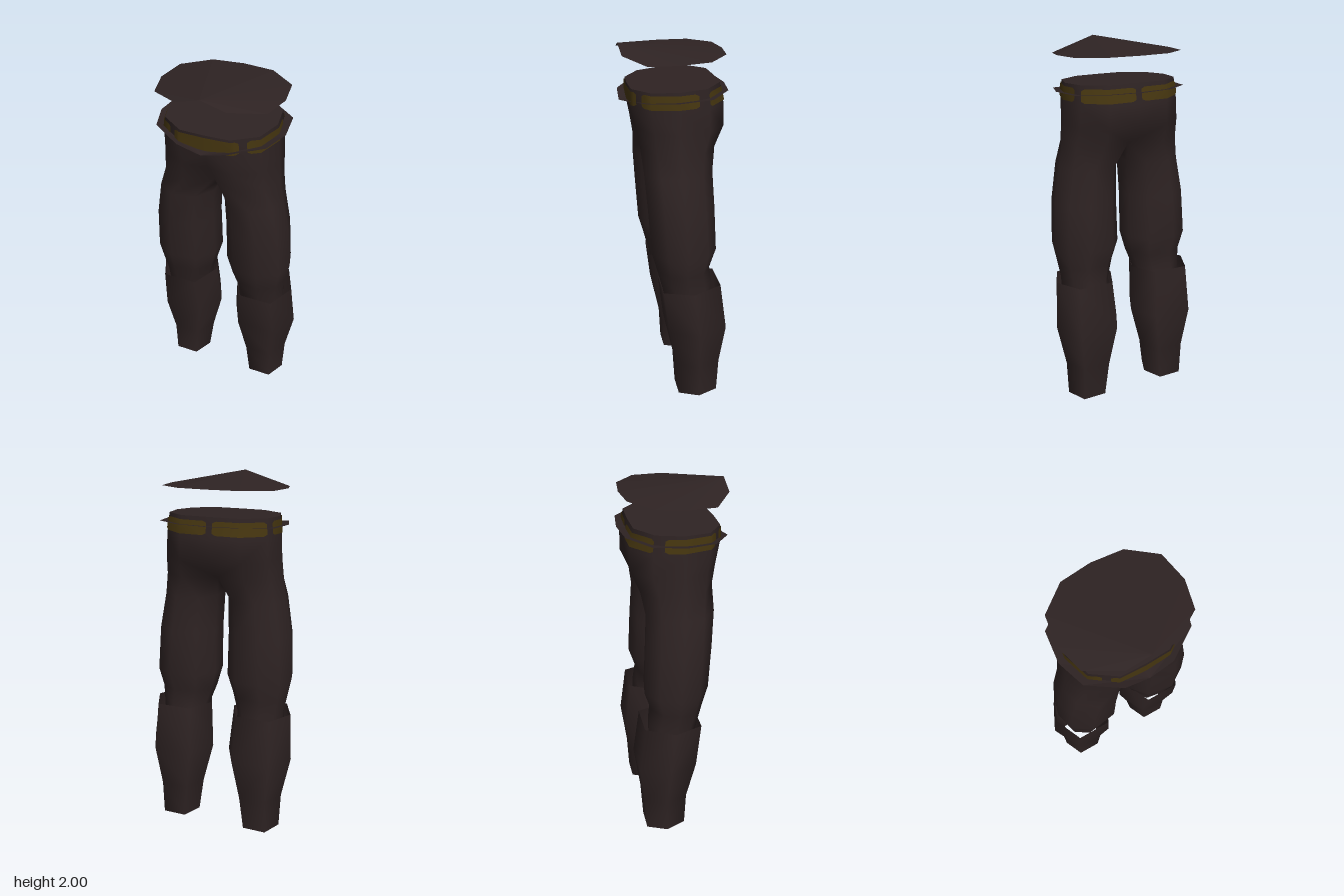
import * as THREE from 'three';
import { mergeGeometries, mergeVertices } from 'three/addons/utils/BufferGeometryUtils.js';

const leather = new THREE.MeshStandardMaterial({ color: 0x2e2323, side: THREE.DoubleSide });
leather.name = 'darkLeather';
const gold = new THREE.MeshStandardMaterial({ color: 0x45350f, side: THREE.DoubleSide });
gold.name = 'darkGold';

// Skins a list of equal-length rows running from top to bottom; side -1 mirrors in x
function loft(rows, closed, side = 1) {
  const n = rows[0].length, pos = [], idx = [];
  rows.forEach(r => r.forEach(p => pos.push(p[0] * side, p[1], p[2])));
  for (let i = 0; i < rows.length - 1; i++) {
    for (let j = 0; j < (closed ? n : n - 1); j++) {
      const k = (j + 1) % n;
      const a = i * n + j, b = i * n + k, c = b + n, d = a + n;
      if (side > 0) idx.push(a, d, c, a, c, b);
      else idx.push(a, c, d, a, b, c);
    }
  }
  const g = new THREE.BufferGeometry();
  g.setAttribute('position', new THREE.Float32BufferAttribute(pos, 3));
  g.setIndex(idx);
  return g;
}

// Joins pieces and shades them smoothly across the seams
function smooth(list) {
  const g = mergeVertices(mergeGeometries(list), 1e-4);
  g.computeVertexNormals();
  return g;
}

// Flat-shaded fan from the front point of a half outline, mirrored to both sides
function fan(half) {
  const ring = [...half, ...half.slice(1, -1).reverse().map(p => [-p[0], p[1], p[2]])];
  const pos = [];
  for (let i = 1; i < ring.length - 1; i++) pos.push(...ring[0], ...ring[i], ...ring[i + 1]);
  const g = new THREE.BufferGeometry();
  g.setAttribute('position', new THREE.Float32BufferAttribute(pos, 3));
  g.computeVertexNormals();
  return g;
}

// Half hip section from front centre, round the side, to back centre
function hipRow([y, w, f, b, fc, bc, tilt = 0]) {
  return [[0, fc], [0.45 * w, f], [0.86 * w, 0.64 * f], [w, 0.01], [0.92 * w, 0.6 * b], [0.54 * w, b], [0, bc]]
    .map(([x, z]) => [x, y - tilt * z, z]);
}

// Leg section, point for point below the hip half and the crotch
const legAngles = [-32, 14, 55, 90, 128, 166, 212, 252, 288];
function legRow([y, inner, outer, f, b]) {
  const cx = (inner + outer) / 2, cz = (f + b) / 2;
  return legAngles.map(d => {
    const t = THREE.MathUtils.degToRad(d);
    const e = d === 90 ? 1 : 1.04;
    return [cx + Math.sin(t) * e * (outer - inner) / 2, y, cz + Math.cos(t) * e * (f - b) / 2];
  });
}

// Six-sided boot section
function bootRow([y, inner, outer, f, b, tilt = 0]) {
  const c = (inner + outer) / 2, h = 0.58 * (outer - inner) / 2, m = (f + b) / 2;
  return [[c - h, f], [c + h, f], [outer, m], [c + h, b], [c - h, b], [inner, m]]
    .map(([x, z]) => [x, y - tilt * (z - m), z]);
}

const hips = [
  [1.80, 0.30, 0.235, -0.225, 0.24, -0.23, 0.05],
  [1.70, 0.31, 0.235, -0.247, 0.24, -0.25],
  [1.58, 0.318, 0.212, -0.248, 0.20, -0.235],
  [1.47, 0.33, 0.195, -0.20, 0.12, -0.13]
].map(hipRow);

const legs = [
  [1.35, 0.03, 0.348, 0.186, -0.178],
  [1.15, 0.038, 0.385, 0.172, -0.188],
  [0.90, 0.036, 0.40, 0.155, -0.20],
  [0.79, 0.066, 0.377, 0.125, -0.165],
  [0.69, 0.10, 0.36, 0.10, -0.18],
  [0.60, 0.10, 0.36, 0.08, -0.18]
].map(legRow);

const boots = [
  [0.70, 0.07, 0.41, 0.105, -0.215, 0.06],
  [0.44, 0.05, 0.43, 0.075, -0.25],
  [0.20, 0.11, 0.38, 0.025, -0.22],
  [0.00, 0.14, 0.37, 0.015, -0.21]
].map(bootRow);

// Point on the waist at s steps round the half section, lifted just clear of the cloth
function waistPoint(s, y) {
  const j = Math.min(Math.floor(s), 5), u = s - j, v = (1.80 - y) / 0.1;
  const at = k => [0, 2].map(c => THREE.MathUtils.lerp(hips[0][k][c], hips[1][k][c], v));
  const a = at(j), b = at(j + 1);
  const x = THREE.MathUtils.lerp(a[0], b[0], u), z = THREE.MathUtils.lerp(a[1], b[1], u);
  return [x * 1.018, y - 0.03 * z, z * 1.018];
}

// Thin belt plate with clipped corners between two stations
function plate(from, to, side) {
  const stops = [[from, from > 0 ? 0.026 : 0.036]];
  if (from > 0) stops.push([from + 0.12, 0.036]);
  for (let s = Math.floor(from) + 1; s < to - 0.12; s++) if (s > from + 0.12) stops.push([s, 0.036]);
  stops.push([to - 0.12, 0.036], [to, 0.026]);
  const g = loft([1, -1].map(k => stops.map(([s, h]) => waistPoint(s, 1.748 + k * h))), false, side);
  g.computeVertexNormals();
  return g;
}

export function createModel() {
  const model = new THREE.Group();
  const add = (name, geometry, material) => {
    const m = new THREE.Mesh(geometry, material);
    m.name = name;
    model.add(m);
  };

  // Trousers: hips split at the crotch into two legs
  const crotch = [...hips[3], [0, 1.42, -0.06], [0, 1.42, 0.06]];
  add('trousers', smooth([1, -1].flatMap(s => [
    loft(hips, false, s), loft([crotch, ...legs], true, s)
  ])), leather);
  add('waistCap', fan(hips[0]), leather);

  // Open boots and gold belt plates on each side
  for (const [side, label] of [[1, 'left'], [-1, 'right']]) {
    add(label + 'Boot', smooth([loft(boots, true, side)]), leather);
    add(label + 'FrontBeltPlate', plate(0, 1.28, side), gold);
    add(label + 'SideBeltPlate', plate(1.55, 3.65, side), gold);
    add(label + 'BackBeltPlate', plate(4.02, 5.9, side), gold);
  }

  // Thin flared rim around the belt
  add('beltRim', fan([
    [0, 1.70, 0.285], [0.135, 1.73, 0.278], [0.30, 1.748, 0.172], [0.348, 1.755, 0.02],
    [0.325, 1.762, -0.155], [0.18, 1.77, -0.268], [0, 1.77, -0.288]
  ]), leather);

  // Thin upper disc with a raised front point
  add('upperDisc', fan([
    [0, 2.0, 0.285], [0.135, 1.958, 0.278], [0.30, 1.935, 0.172], [0.338, 1.943, 0.02],
    [0.312, 1.948, -0.145], [0.17, 1.954, -0.255], [0, 1.955, -0.272]
  ]), leather);

  return model;
}
